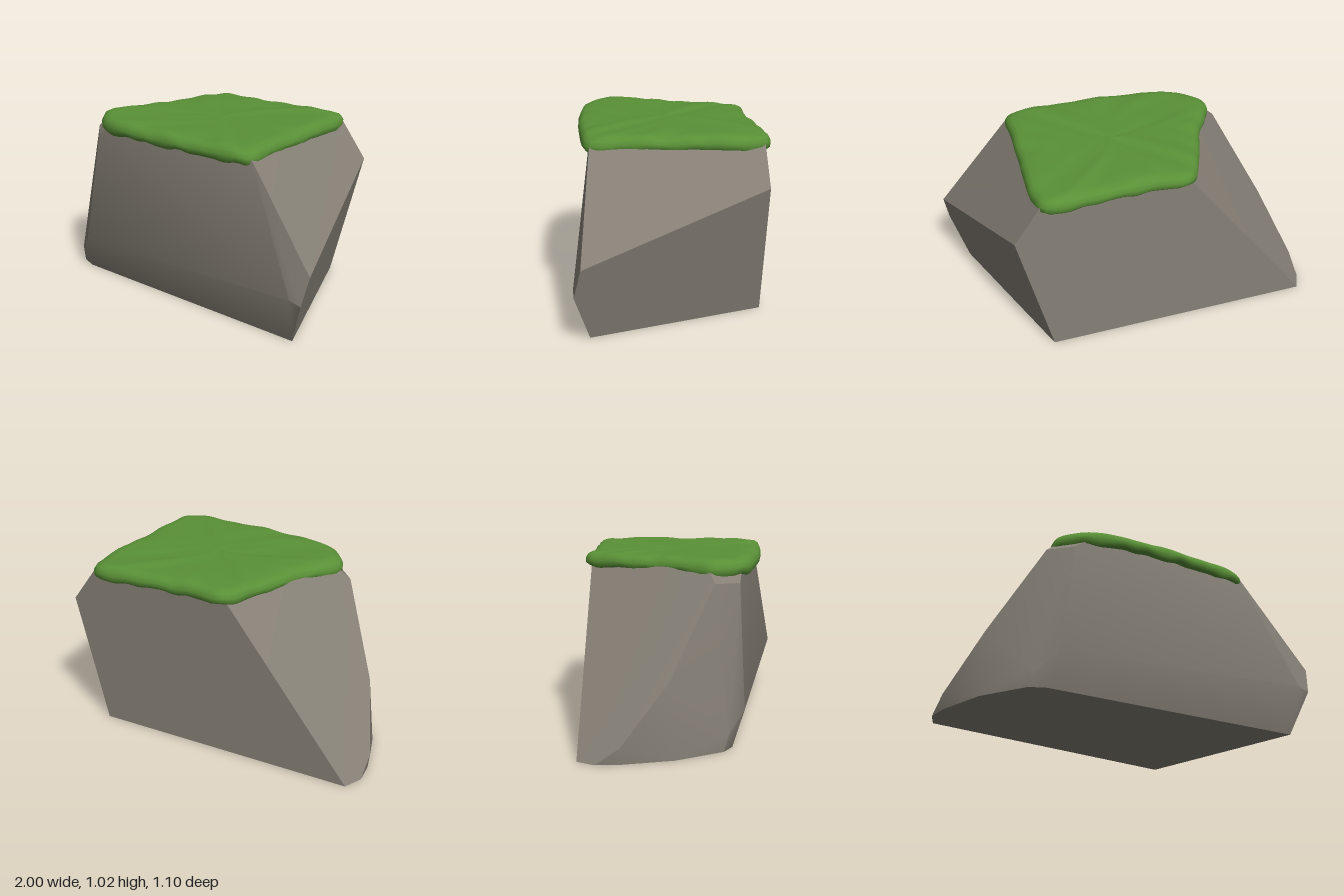
import * as THREE from 'three';
import { toCreasedNormals } from 'three/addons/utils/BufferGeometryUtils.js';
import { ConvexGeometry } from 'three/addons/geometries/ConvexGeometry.js';

const v = ([x, y, z]) => new THREE.Vector3(x, y, z);

// Chiselled boulder: the hull of its corners, with soft shading across shallow bends
function createRock(material) {
  const corners = [
    // flat back
    [0.59, 0, -0.51], [0.78, 0.75, -0.51], [0.62, 0.97, -0.51],
    [-0.2, 0.96, -0.51], [-0.95, 0, -0.51],
    // right end and its front corner
    [1, 0.42, 0.51], [0.97, 0.26, 0.545], [0.9, 0.28, 0.545],
    [0.88, 0, 0.46], [0.585, 0.96, 0.43],
    // left end, from the foot up to the top
    [-1, 0, -0.41], [-1, 0.09, -0.28], [-0.88, 0.41, -0.03],
    [-0.64, 0.89, 0.2], [-0.58, 0.95, 0.17],
    // rounded front left corner
    [-0.99, 0, -0.28], [-0.91, 0, 0], [-0.75, 0, 0.255], [-0.66, 0, 0.3],
    [-0.74, 0.1, 0.28], [-0.63, 0.2, 0.365], [-0.53, 0.88, 0.335], [-0.44, 0.95, 0.345],
  ];
  const rock = new THREE.Mesh(toCreasedNormals(new ConvexGeometry(corners.map(v)), 0.48), material);
  rock.name = 'rock';
  return rock;
}

// Moss cap: rings that run from the ragged lower edge, over the lip, to the middle
function createMoss(material) {
  const outline = [
    [-0.21, -0.54], [0, -0.53], [0.34, -0.545], [0.61, -0.535], [0.65, -0.43],
    [0.625, 0], [0.605, 0.25], [0.59, 0.43], [0.5, 0.46], [0.25, 0.465], [0, 0.455],
    [-0.2, 0.435], [-0.43, 0.385], [-0.55, 0.28], [-0.59, 0.18], [-0.53, 0.06],
    [-0.44, -0.08], [-0.33, -0.34],
  ].map(([x, z]) => new THREE.Vector3(x, 0, z));
  const n = 120;
  const edge = new THREE.CatmullRomCurve3(outline, true, 'centripetal').getSpacedPoints(n);
  const cx = 0.1, cz = -0.04;

  // inset from the outline, height, how much the ragged edge shows
  const rings = [
    [0.08, 0.94, 0.6], [0.02, 0.926, 1], [0.002, 0.94, 0.8], [0, 0.965, 0.4],
    [0.014, 0.99, 0.2], [0.04, 1.003, 0.1], [0.09, 1.008, 0],
    [0.2, 1.01, 0], [0.33, 1.009, 0], [0.45, 1.01, 0], [0.6, 1.009, 0],
  ];
  const positions = [], index = [];
  rings.forEach(([inset, height, ragged], i) => {
    for (let j = 0; j < n; j++) {
      const p = edge[j], a = (j / n) * Math.PI * 2;
      const dx = p.x - cx, dz = p.z - cz, r = Math.hypot(dx, dz);
      const wave = Math.sin(a * 11) * 0.5 + Math.sin(a * 19 + 1.3) * 0.6 + Math.sin(a * 31 + 2) * 0.3;
      const k = i === rings.length - 1 ? 0 : 1 - inset / 0.6 + wave * 0.005 * ragged;
      const x = cx + dx * k, z = cz + dz * k;
      // corners lie further out and droop a little
      const droop = Math.max(0, r - 0.58) * 0.12 * ragged;
      const lump = 0.005 * Math.sin(x * 17 + 1) * Math.cos(z * 15) + 0.003 * Math.sin(x * 31 - z * 27);
      positions.push(x, height + wave * 0.008 * ragged - droop + lump * (1 - ragged), z);
    }
  });
  for (let i = 0; i < rings.length - 1; i++) {
    for (let j = 0; j < n; j++) {
      const a = i * n + j, b = i * n + (j + 1) % n;
      index.push(a, a + n, b, b, a + n, b + n);
    }
  }
  const geometry = new THREE.BufferGeometry();
  geometry.setAttribute('position', new THREE.Float32BufferAttribute(positions, 3));
  geometry.setIndex(index);
  geometry.computeVertexNormals();
  const moss = new THREE.Mesh(geometry, material);
  moss.name = 'mossCap';
  return moss;
}

export function createModel() {
  const stone = new THREE.MeshStandardMaterial({ color: 0x868076 });
  stone.name = 'warm grey stone';
  const green = new THREE.MeshStandardMaterial({ color: 0x5a9137 });
  green.name = 'moss green';

  const model = new THREE.Group();
  model.name = 'mossyRock';
  model.add(createRock(stone), createMoss(green));
  return model;
}
